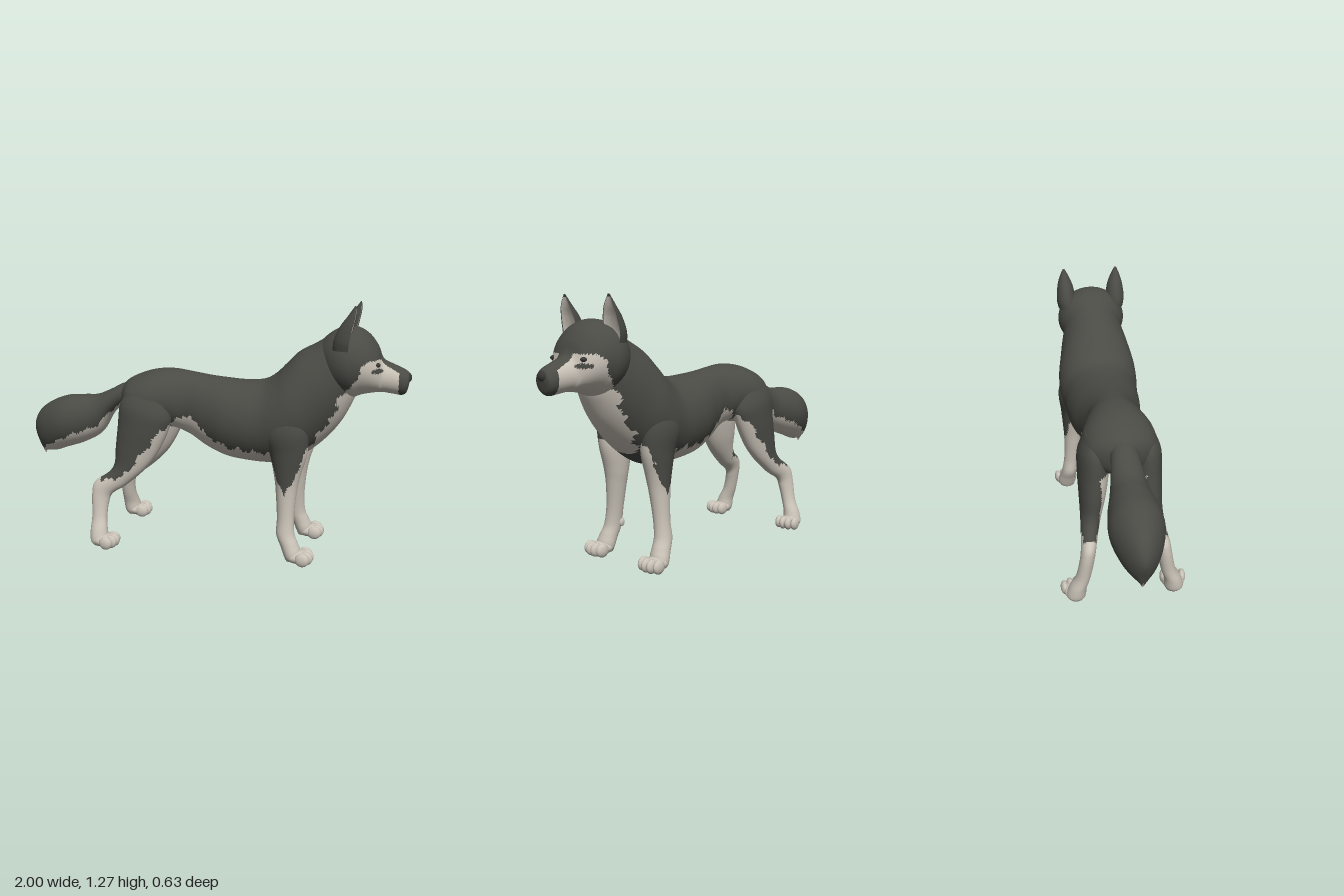
import * as THREE from 'three';
import { toCreasedNormals } from 'three/addons/utils/BufferGeometryUtils.js';

const darkFur = new THREE.MeshStandardMaterial({ color: 0x4a4b45 });
const lightFur = new THREE.MeshStandardMaterial({ color: 0xc9c2b7 });
const noseBlack = new THREE.MeshStandardMaterial({ color: 0x3a3936 });

// Piecewise linear function through [input, output] pairs
function line(pts) {
  return t => {
    if (t <= pts[0][0]) return pts[0][1];
    for (let i = 1; i < pts.length; i++) {
      const [a, p] = pts[i - 1], [b, q] = pts[i];
      if (t <= b) return p + (q - p) * (t - a) / (b - a);
    }
    return pts[pts.length - 1][1];
  };
}

// Smooth interpolation between section values
function spline(p0, p1, p2, p3, t) {
  return 0.5 * (2 * p1 + (p2 - p0) * t + (2 * p0 - 5 * p1 + 4 * p2 - p3) * t * t
    + (3 * p1 - p0 - 3 * p2 + p3) * t * t * t);
}

// Loft oval sections [ax, ay, bx, by, halfWidth, z]; isLight picks the fur of each facet
function loft(name, rings, isLight, { side = 1, seg = 56, sub = 9, hollow = 0, crease = 0 } = {}) {
  const n = rings.length, sections = [];
  for (let i = 0; i < n - 1; i++) {
    const at = k => rings[Math.min(n - 1, Math.max(0, k))];
    for (let s = 0; s < sub + (i === n - 2 ? 1 : 0); s++) {
      sections.push([0, 1, 2, 3, 4, 5].map(c =>
        spline(at(i - 1)[c] || 0, at(i)[c] || 0, at(i + 1)[c] || 0, at(i + 2)[c] || 0, s / sub)));
    }
  }
  const pos = [];
  for (const [ax, ay, bx, by, w, z] of sections) {
    for (let j = 0; j < seg; j++) {
      const a = j / seg * Math.PI * 2;
      let c = Math.cos(a);
      if (hollow && c < 0) c *= -hollow;
      pos.push((ax + bx) / 2 + (ax - bx) / 2 * c, Math.max(0, (ay + by) / 2 + (ay - by) / 2 * c),
        z * side + Math.max(w, 0.002) * Math.sin(a));
    }
  }
  const last = sections.length - 1;
  for (const [ax, ay, bx, by, , z] of [sections[0], sections[last]]) {
    pos.push((ax + bx) / 2, Math.max(0, (ay + by) / 2), z * side);
  }
  const faces = [[], []];
  const add = (a, b, c, angle) => {
    const mid = k => (pos[a * 3 + k] + pos[b * 3 + k] + pos[c * 3 + k]) / 3;
    faces[isLight(mid(0), mid(1), mid(2) * side, angle) ? 1 : 0].push(a, b, c);
  };
  const startCap = sections.length * seg;
  for (let j = 0; j < seg; j++) {
    const k = (j + 1) % seg, angle = (j + 0.5) / seg * Math.PI * 2;
    for (let i = 0; i < last; i++) {
      const p = i * seg, q = p + seg;
      add(p + j, p + k, q + j, angle);
      add(p + k, q + k, q + j, angle);
    }
    add(startCap, k, j, angle);
    add(startCap + 1, last * seg + j, last * seg + k, angle);
  }
  let geo = new THREE.BufferGeometry();
  geo.setAttribute('position', new THREE.Float32BufferAttribute(pos, 3));
  geo.setIndex([...faces[0], ...faces[1]]);
  geo.addGroup(0, faces[0].length, 0);
  geo.addGroup(faces[0].length, faces[1].length, 1);
  geo.computeVertexNormals();
  if (crease) {
    const groups = geo.groups;
    geo = toCreasedNormals(geo, crease);
    geo.groups = groups;
  }
  const mesh = new THREE.Mesh(geo, [darkFur, lightFur]);
  mesh.name = name;
  return mesh;
}

function ellipsoid(name, mat, x, y, z, rx, ry, rz) {
  const geo = new THREE.SphereGeometry(1, 20, 14).scale(rx, ry, rz);
  const mesh = new THREE.Mesh(geo, mat);
  mesh.name = name;
  mesh.position.set(x, y, z);
  return mesh;
}

// Fur borders
const ragged = t => 0.01 * Math.sin(t * 75) + 0.006 * Math.sin(t * 171);
const belly = line([[-0.45, 0.62], [-0.2, 0.63], [-0.1, 0.7], [-0.03, 0.67], [0.03, 0.6], [0.15, 0.55], [0.4, 0.54]]);
const chest = line([[0.5, 0.5], [0.56, 0.53], [0.65, 0.58], [0.74, 0.65], [0.85, 0.68], [0.9, 0.74], [1.0, 0.785], [1.02, 0.81]]);
const thigh = line([[-0.5, 0.35], [-0.47, 0.35], [-0.4, 0.38], [-0.3, 0.5], [-0.2, 0.63], [-0.1, 0.7]]);
const tailEdge = line([[-0.96, 0.4], [-0.94, 0.45], [-0.76, 0.54], [-0.6, 0.6], [-0.53, 0.68], [-0.46, 0.73], [-0.44, 0.6]]);

const bodyLight = (x, y) => x < 0.42
  ? y < belly(x) + ragged(x)
  : y < 0.9 && x > chest(y) + ragged(y);

function headLight(x, y, z) {
  const w = Math.abs(z);
  if (x > 0.942 || y > 1.015) return false;
  if (w < 0.045 && y > 0.93) return false;
  if (((w - 0.105) / 0.035) ** 2 + ((y - 0.965) / 0.012) ** 2 < 1) return false;
  return x > chest(y) + ragged(y) * 0.6;
}

const bodyRings = [
  [-0.47, 0.79, -0.46, 0.74, 0.03], [-0.45, 0.835, -0.44, 0.66, 0.1], [-0.4, 0.87, -0.38, 0.62, 0.165],
  [-0.3, 0.905, -0.28, 0.6, 0.18], [-0.2, 0.915, -0.19, 0.61, 0.155], [-0.1, 0.905, -0.1, 0.58, 0.13],
  [0, 0.89, 0, 0.52, 0.15], [0.1, 0.88, 0.1, 0.48, 0.18], [0.2, 0.875, 0.2, 0.465, 0.195],
  [0.29, 0.885, 0.31, 0.46, 0.2], [0.35, 0.92, 0.42, 0.47, 0.213], [0.4, 0.97, 0.52, 0.53, 0.213],
  [0.46, 1.03, 0.61, 0.61, 0.195], [0.54, 1.075, 0.68, 0.7, 0.175], [0.6, 1.11, 0.73, 0.8, 0.15],
  [0.64, 1.12, 0.75, 0.86, 0.1],
];
const headRings = [
  [0.54, 1.06, 0.62, 0.82, 0.11], [0.6, 1.12, 0.68, 0.82, 0.165], [0.66, 1.155, 0.73, 0.82, 0.185],
  [0.73, 1.16, 0.77, 0.835, 0.177], [0.79, 1.13, 0.815, 0.845, 0.152], [0.835, 1.075, 0.85, 0.85, 0.115],
  [0.865, 1.012, 0.87, 0.85, 0.08], [0.92, 0.985, 0.91, 0.845, 0.062], [0.965, 0.965, 0.955, 0.84, 0.056],
  [0.988, 0.945, 0.975, 0.85, 0.045], [0.993, 0.92, 0.983, 0.87, 0.02],
];
const tailRings = [
  [-0.36, 0.74, -0.38, 0.85, 0.06], [-0.45, 0.72, -0.47, 0.825, 0.065], [-0.53, 0.66, -0.54, 0.79, 0.075],
  [-0.6, 0.55, -0.62, 0.757, 0.092], [-0.7, 0.49, -0.7, 0.75, 0.115], [-0.8, 0.455, -0.8, 0.74, 0.125],
  [-0.87, 0.43, -0.9, 0.7, 0.1], [-0.92, 0.425, -0.97, 0.64, 0.065], [-0.94, 0.42, -0.998, 0.56, 0.03],
  [-0.945, 0.405, -0.97, 0.47, 0.008],
];
const frontLegRings = [
  [0.47, 0.8, 0.33, 0.76, 0.03, 0.16], [0.53, 0.68, 0.32, 0.64, 0.066, 0.155], [0.535, 0.56, 0.35, 0.54, 0.068, 0.143],
  [0.505, 0.44, 0.375, 0.42, 0.058, 0.143], [0.49, 0.36, 0.385, 0.34, 0.049, 0.148], [0.48, 0.24, 0.395, 0.22, 0.041, 0.16],
  [0.485, 0.15, 0.395, 0.14, 0.042, 0.172], [0.505, 0.1, 0.42, 0.08, 0.046, 0.18], [0.52, 0.06, 0.44, 0.03, 0.05, 0.185],
  [0.51, 0.02, 0.45, 0.01, 0.04, 0.185],
];
const hindLegRings = [
  [-0.24, 0.84, -0.4, 0.8, 0.03, 0.13], [-0.17, 0.7, -0.44, 0.74, 0.072, 0.128], [-0.18, 0.62, -0.455, 0.62, 0.076, 0.13],
  [-0.235, 0.5, -0.465, 0.52, 0.066, 0.138], [-0.3, 0.41, -0.47, 0.43, 0.053, 0.15], [-0.4, 0.32, -0.5, 0.38, 0.043, 0.165],
  [-0.475, 0.27, -0.57, 0.33, 0.037, 0.18], [-0.495, 0.22, -0.585, 0.27, 0.036, 0.19], [-0.5, 0.15, -0.58, 0.15, 0.036, 0.21],
  [-0.49, 0.09, -0.58, 0.08, 0.042, 0.235], [-0.48, 0.04, -0.575, 0.03, 0.048, 0.245], [-0.49, 0.01, -0.56, 0.008, 0.038, 0.245],
];
const earRings = [
  [0.635, 1.06, 0.79, 1.06, 0.048, 0.135], [0.64, 1.11, 0.79, 1.1, 0.052, 0.138], [0.665, 1.17, 0.79, 1.17, 0.044, 0.14],
  [0.7, 1.22, 0.775, 1.22, 0.028, 0.143], [0.732, 1.268, 0.742, 1.27, 0.005, 0.145],
];

// Paw pad with four rounded toes, turned a little outward
function paw(name, x, z, side, yaw) {
  const group = new THREE.Group();
  group.name = name;
  group.add(ellipsoid('pawPad', lightFur, 0, 0.034, 0, 0.068, 0.034, 0.056));
  for (let i = 0; i < 4; i++) {
    const o = i - 1.5, reach = Math.abs(o) < 1 ? 0.042 : 0.03;
    group.add(ellipsoid('toe', lightFur, reach, 0.034, o * 0.031, 0.036, 0.034, 0.019));
  }
  group.position.set(x, 0, z * side);
  group.rotation.y = -yaw * side;
  return group;
}

export function createModel() {
  const model = new THREE.Group();
  model.name = 'dog';
  model.add(loft('body', bodyRings, bodyLight, { seg: 72 }));
  model.add(loft('head', headRings, headLight, { seg: 72, sub: 12 }));
  model.add(loft('tail', tailRings, (x, y) => x > -0.95 && y < tailEdge(x) + ragged(x) * 0.6));
  model.add(ellipsoid('nose', noseBlack, 0.973, 0.925, 0, 0.027, 0.027, 0.036));

  for (const side of [1, -1]) {
    const label = side === 1 ? 'left' : 'right';
    model.add(loft(label + 'FrontLeg', frontLegRings, (x, y, z) =>
      y < 0.34 + Math.abs(x - 0.435) * 2.2 + ragged(x) || (z < 0.13 && y < 0.6)
      || (y > 0.5 && x > chest(y) + ragged(y)), { side, seg: 44 }));
    model.add(loft(label + 'HindLeg', hindLegRings, (x, y, z) =>
      y < thigh(x) + ragged(x) || (z < 0.125 && y < 0.64 && x > -0.45), { side, seg: 44 }));
    model.add(paw(label + 'FrontPaw', 0.508, 0.187, side, 0.05));
    model.add(paw(label + 'HindPaw', -0.5, 0.248, side, 0.12));
    // Dewclaw behind the wrist
    model.add(ellipsoid(label + 'Dewclaw', lightFur, 0.42, 0.155, 0.132 * side, 0.018, 0.022, 0.012));
    model.add(loft(label + 'Ear', earRings, (x, y, z, angle) => Math.cos(angle) < -0.25 && y < 1.255,
      { side, seg: 36, hollow: 0.35, crease: 0.9 }));
    model.add(ellipsoid(label + 'Eye', noseBlack, 0.842, 0.993, 0.1 * side, 0.015, 0.011, 0.016));
  }
  return model;
}
